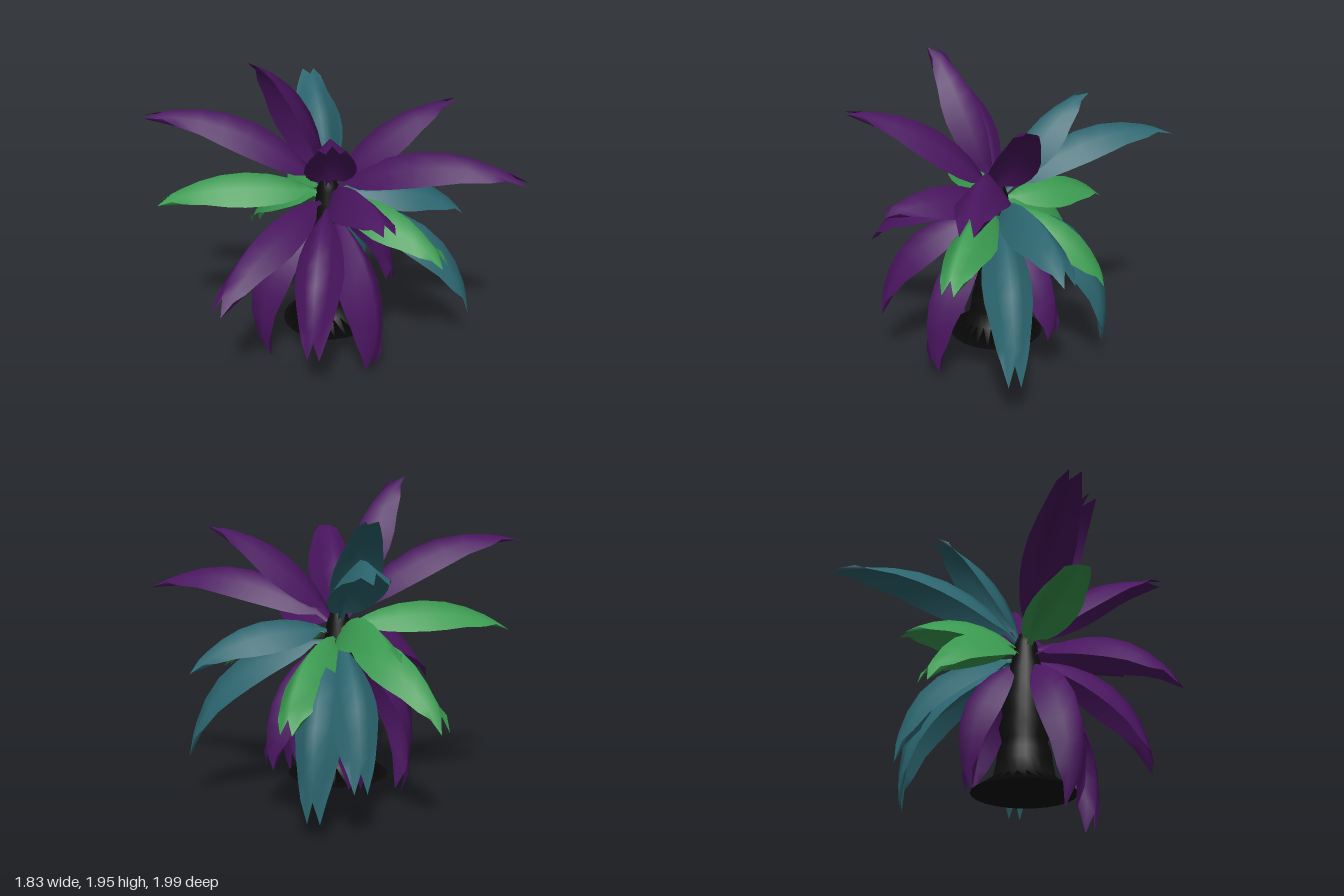
import * as THREE from 'three';

const CX = 0.04, CZ = -0.155; // trunk axis
const PURPLE = 0x4a1560, GREEN = 0x3a9a50, TEAL = 0x2c6670;

// Leaf tips: x, y, z, colour, bow (how strongly the leaf arches)
const LEAVES = [
  // upright crown
  [-0.47, 1.96, -0.27, PURPLE, 0.29],
  [-0.66, 1.58, -0.97, PURPLE, 0.34],
  [-0.65, 1.66, 0.42, PURPLE, 0.29],
  [0.50, 1.66, 0.44, PURPLE, 0.25],
  [0.43, 1.69, -0.62, TEAL, 0.27],
  [0.89, 1.41, -0.95, TEAL, 0.35],
  [0.41, 1.28, 0.99, PURPLE, 0.34],
  // spreading leaves
  [-0.34, 1.13, 0.56, PURPLE, 0.28],
  [-0.67, 1.04, -0.91, GREEN, 0.29],
  [0.48, 0.98, -0.79, GREEN, 0.32],
  [0.12, 0.77, 0.65, GREEN, 0.34],
  [0.73, 0.84, 0.40, TEAL, 0.34],
  [-0.91, 0.63, -0.21, PURPLE, 0.35],
  [0.21, 0.58, -0.95, GREEN, 0.38],
  [0.72, 0.58, -0.28, GREEN, 0.36],
  // hanging leaves
  [0.67, 0.11, -0.42, TEAL, 0.5],
  [0.51, 0.28, 0.61, TEAL, 0.43],
  [-0.59, 0.33, 0.22, PURPLE, 0.43],
  [-0.15, 0.06, 0.31, PURPLE, 0.48],
  [-0.33, 0.01, -0.36, PURPLE, 0.5],
  [0.49, 0.29, 0.01, PURPLE, 0.42],
  [0.57, 0.29, -0.65, TEAL, 0.42],
  [0.24, 0.18, -0.40, PURPLE, 0.42],
];

// Half width of a leaf along its length: short stalk, broad blade, narrow tip
const ROWS = [
  [0, 0.014], [0.07, 0.022], [0.13, 0.075], [0.21, 0.108], [0.32, 0.132], [0.46, 0.145],
  [0.6, 0.14], [0.73, 0.118], [0.85, 0.092], [1, 0.07],
];
const ACROSS = [-1, -0.5, 0, 0.5, 1];

function leafGeometry(x, y, z, bow) {
  const out = new THREE.Vector3(x - CX, 0, z - CZ).normalize();
  const start = new THREE.Vector3(CX, 0.97 + 0.1 * y, CZ).addScaledVector(out, 0.04);
  const tip = new THREE.Vector3(x, y, z);
  const side = new THREE.Vector3(0, 1, 0).cross(out);
  const arch = tip.clone().sub(start).cross(side).multiplyScalar(bow);
  const control = start.clone().add(tip).multiplyScalar(0.5).add(arch);
  const curve = new THREE.QuadraticBezierCurve3(start, control, tip);

  const positions = [], index = [];
  ROWS.forEach(([t, half], r) => {
    const last = r === ROWS.length - 1;
    const fold = 1.2 - 0.9 * t ** 4; // roof-shaped blade, flatter at the tip
    for (const u of ACROSS) {
      // the tip is forked: only the two middle lines reach the end
      const tt = last && Math.abs(u) !== 0.5 ? 0.91 : t;
      const up = curve.getTangent(tt).cross(side);
      const p = curve.getPoint(tt)
        .addScaledVector(side, u * half)
        .addScaledVector(up, half * (0.15 - fold * Math.abs(u) ** 1.2));
      positions.push(p.x, p.y, p.z);
    }
  });
  const n = ACROSS.length;
  for (let r = 0; r < ROWS.length - 1; r++) {
    for (let c = 0; c < n - 1; c++) {
      const a = r * n + c, b = a + 1, d = a + n, e = d + 1;
      index.push(a, b, d, b, e, d);
    }
  }
  const geometry = new THREE.BufferGeometry();
  geometry.setAttribute('position', new THREE.Float32BufferAttribute(positions, 3));
  geometry.setIndex(index);
  geometry.computeVertexNormals();
  return geometry;
}

export function createModel() {
  const model = new THREE.Group();
  model.name = 'palmPlant';

  // Trunk with a flared foot and slightly knobbly outline
  const profile = [
    [0, 0.19], [0.3, 0.19], [0.18, 0.27], [0.16, 0.36], [0.155, 0.42], [0.13, 0.49],
    [0.15, 0.57], [0.13, 0.65], [0.14, 0.73], [0.115, 0.83], [0.11, 0.92],
    [0.08, 1.02], [0.07, 1.1], [0.045, 1.17], [0, 1.21],
  ].map(([r, h]) => new THREE.Vector2(r, h));
  const trunk = new THREE.Mesh(
    new THREE.LatheGeometry(profile, 24),
    new THREE.MeshStandardMaterial({ color: 0x0c0c0c }),
  );
  trunk.name = 'trunk';
  trunk.position.set(CX, 0, CZ);
  model.add(trunk);

  // Arching leaves
  const materials = {};
  for (const color of [PURPLE, GREEN, TEAL]) {
    materials[color] = new THREE.MeshStandardMaterial({ color, side: THREE.DoubleSide });
  }
  const leaves = new THREE.Group();
  leaves.name = 'leaves';
  for (const [x, y, z, color, bow] of LEAVES) {
    const leaf = new THREE.Mesh(leafGeometry(x, y, z, bow), materials[color]);
    leaf.name = 'leaf';
    leaves.add(leaf);
  }
  model.add(leaves);
  return model;
}
